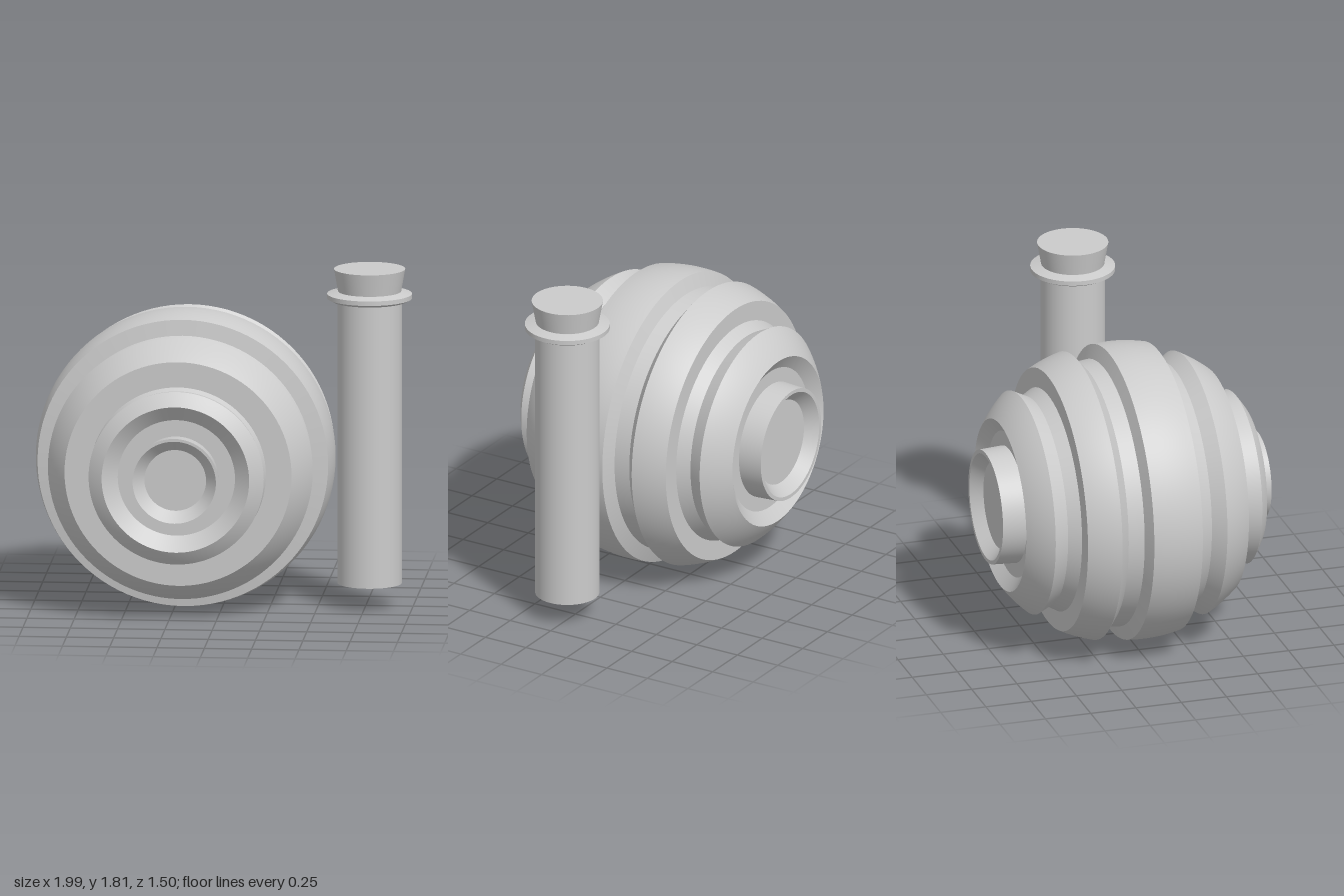
import * as THREE from 'three';
import { mergeGeometries } from 'three/addons/utils/BufferGeometryUtils.js';

const SPHERE_R = 0.8;

// Lathe made of separate bands, so each is smooth around but sharp at its edges.
// Each point is [radius, height, arc?]; arc = 1 bulges the band leading to it along the sphere.
function bandedLathe(profile, segments) {
  const bands = [];
  for (let i = 1; i < profile.length; i++) {
    const [r0, h0] = profile[i - 1];
    const [r1, h1, arc] = profile[i];
    const points = [];
    const steps = arc ? 8 : 1;
    for (let k = 0; k <= steps; k++) {
      const t = k / steps;
      const h = h0 + (h1 - h0) * t;
      // straight line plus the sphere's bulge over its chord
      const s = (z) => Math.sqrt(SPHERE_R * SPHERE_R - z * z);
      const bulge = arc ? s(h) - (s(h0) * (1 - t) + s(h1) * t) : 0;
      points.push(new THREE.Vector2(r0 + (r1 - r0) * t + bulge, h));
    }
    bands.push(new THREE.LatheGeometry(points, segments));
  }
  return mergeGeometries(bands);
}

export function createModel() {
  const group = new THREE.Group();
  const material = new THREE.MeshStandardMaterial({ color: 0xcccccc });
  const add = (name, geometry, x, y, z) => {
    const mesh = new THREE.Mesh(geometry, material);
    mesh.name = name;
    mesh.position.set(x, y, z);
    group.add(mesh);
  };

  // Ridged ball, profile from the back to the front along z
  const ball = bandedLathe([
    // recessed back hub
    [0, -0.69], [0.23, -0.69], [0.285, -0.75], [0.305, -0.75], [0.312, -0.62],
    // groove around the hub and back ridge
    [0.39, -0.62], [0.46, -0.67], [0.595, -0.55, 1], [0.557, -0.47], [0.595, -0.405],
    // second ridge
    [0.7, -0.405], [0.766, -0.235, 1], [0.7, -0.18], [0.71, -0.095],
    // widest middle band
    [0.785, -0.065], [0.768, 0.208, 1], [0.685, 0.22], [0.65, 0.295],
    // front ridge
    [0.7, 0.365], [0.6, 0.515, 1], [0.465, 0.515], [0.45, 0.547],
    // small front ridge and its groove
    [0.463, 0.632], [0.39, 0.682, 1], [0.31, 0.62], [0.222, 0.62],
    // recessed front hub
    [0.235, 0.755], [0.22, 0.755], [0.163, 0.69], [0, 0.69],
  ], 96);
  ball.rotateX(Math.PI / 2);
  add('ridgedBall', ball, -0.2, 0.8, 0);

  // Upright tube with its rim and stopper
  const tx = 0.773, tz = 0.036;
  add('tube', new THREE.CylinderGeometry(0.17, 0.17, 1.53, 64), tx, 0.905, tz);
  add('rim', bandedLathe([
    [0, 1.655], [0.2, 1.655], [0.224, 1.668], [0.224, 1.692], [0.17, 1.706], [0, 1.706],
  ], 64), tx, 0, tz);
  add('stopper', new THREE.CylinderGeometry(0.188, 0.165, 0.13, 64), tx, 1.76, tz);

  return group;
}
